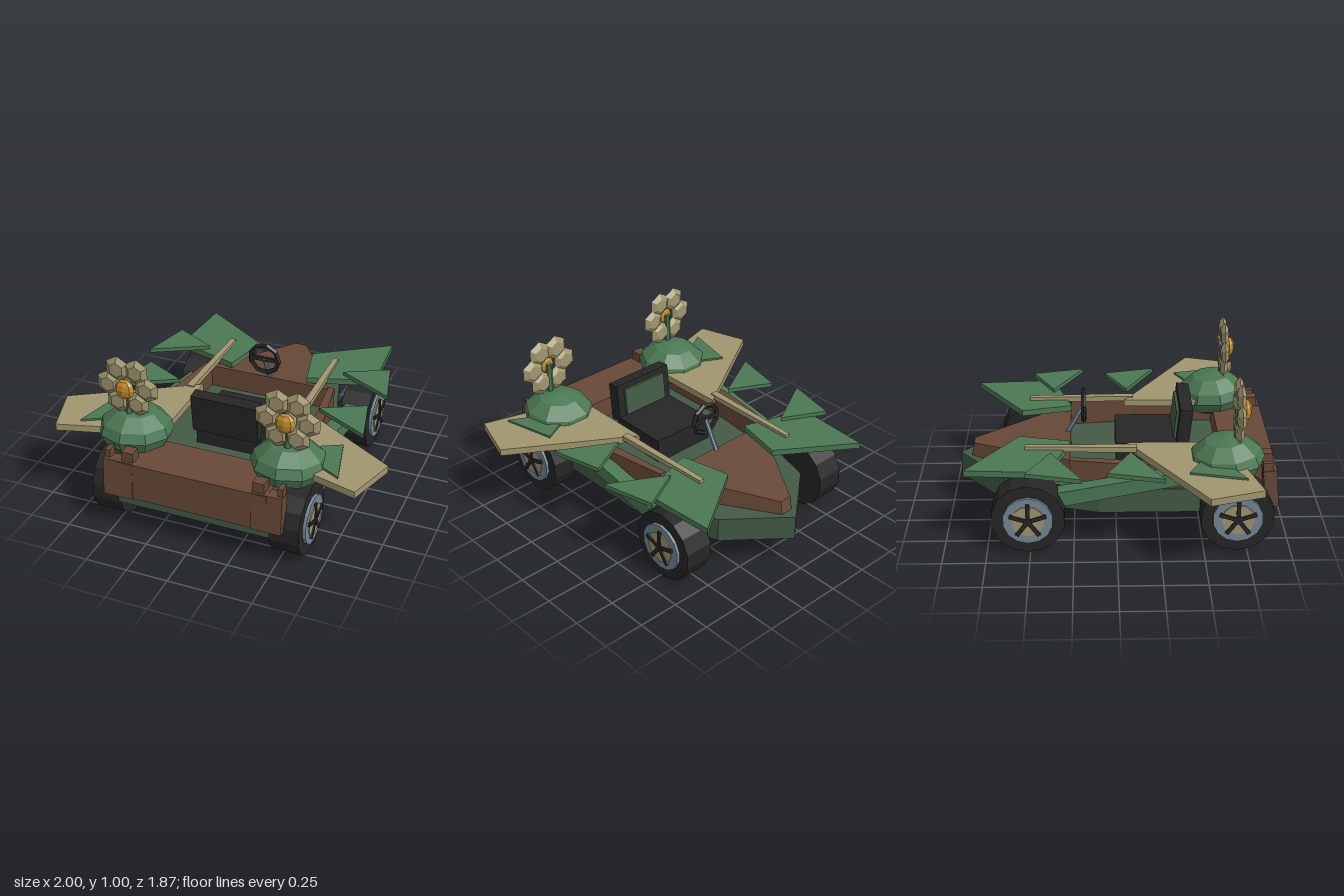
import * as THREE from 'three';

const mat = (name, color) => {
  const m = new THREE.MeshStandardMaterial({ color, flatShading: true });
  m.name = name;
  return m;
};

export function createModel() {
  const chassisGreen = mat('chassisGreen', 0x435a45);
  const leafGreen = mat('leafGreen', 0x4b7853);
  const brown = mat('brown', 0x684937);
  const tan = mat('tan', 0xa0966e);
  const black = mat('black', 0x262626);
  const steel = mat('steel', 0x748895);
  const orange = mat('orange', 0xc08a2c);

  const model = new THREE.Group();
  model.name = 'kart';
  const add = (name, geo, material, pos = [0, 0, 0], parent = model) => {
    const mesh = new THREE.Mesh(geo, material);
    mesh.name = name;
    mesh.position.set(...pos);
    parent.add(mesh);
    return mesh;
  };
  const box = (x, y, z) => new THREE.BoxGeometry(x, y, z);

  // Plan outline of [x, z] points raised from y0 to y1
  const slab = (pts, y0, y1, side = 1) => {
    const shape = new THREE.Shape(pts.map(([x, z]) => new THREE.Vector2(x * side, -z)));
    return new THREE.ExtrudeGeometry(shape, { depth: y1 - y0, bevelEnabled: false })
      .rotateX(-Math.PI / 2).translate(0, y0, 0);
  };
  const mirrored = (half) => [...half, ...half.map(([x, z]) => [-x, z]).reverse()];

  // Chassis
  add('chassis', slab([[0, -0.94], ...mirrored([[0.34, -0.66], [0.5, -0.1], [0.5, 0.45], [0.46, 0.91]])],
    0.18, 0.33), chassisGreen);

  // Wedge hood, its top sloping down and pulled in toward the nose
  const hood = slab(mirrored([[0.04, -0.87], [0.41, -0.27]]), 0.33, 0.5);
  const p = hood.attributes.position;
  for (let i = 0; i < p.count; i++) {
    if (p.getY(i) < 0.4) continue;
    const z = p.getZ(i);
    p.setX(i, p.getX(i) * 0.96);
    p.setY(i, z < -0.5 ? 0.41 : 0.47);
    if (z < -0.5) p.setZ(i, -0.855);
  }
  hood.computeVertexNormals();
  add('hood', hood, brown);

  // Front bumper deck, leaning forward at the lower edge
  add('bumperDeck', slab(mirrored([[0.45, 0.62], [0.45, 0.92]]), 0.23, 0.46), brown);

  // Seat
  add('seatBase', box(0.41, 0.15, 0.38), black, [0, 0.405, 0.19]);
  const back = new THREE.Group();
  back.name = 'seatBack';
  back.position.set(0, 0.57, 0.405);
  back.rotation.x = 0.1;
  model.add(back);
  add('backrest', box(0.41, 0.24, 0.075), black, [0, 0, 0], back);
  add('backrestPad', box(0.31, 0.17, 0.02), chassisGreen, [0, 0, -0.044], back);

  // Steering wheel and column
  add('steeringWheel', new THREE.TorusGeometry(0.093, 0.016, 5, 9), black, [0, 0.642, -0.19]);
  add('steeringBar', box(0.18, 0.025, 0.02), black, [0, 0.642, -0.19]);
  const column = add('steeringColumn', new THREE.CylinderGeometry(0.014, 0.014, 0.25, 6), steel, [0, 0.54, -0.245]);
  column.rotation.x = 0.5;

  for (const side of [1, -1]) {
    const s = side > 0 ? 'left' : 'right';

    // Cockpit wall
    add(s + 'Wall', slab([[0.39, -0.27], [0.43, -0.27], [0.49, 0.1], [0.49, 0.64], [0.43, 0.64], [0.43, 0.1]],
      0.32, 0.485, side), brown);

    // Diagonal side brace, drawn in (z, y)
    const brace = new THREE.Shape([[0.5, 0.42], [0.28, 0.46], [-0.34, 0.35], [-0.3, 0.265]]
      .map(([z, y]) => new THREE.Vector2(z, y)));
    add(s + 'Brace', new THREE.ExtrudeGeometry(brace, { depth: 0.09, bevelEnabled: false })
      .rotateY(-Math.PI / 2), leafGreen, [side > 0 ? 0.575 : -0.485, 0, 0]);

    // Bumper bracket and post
    const bracket = add(s + 'BumperBracket', box(0.18, 0.23, 0.08), brown, [side * 0.45, 0.345, 0.885]);
    bracket.rotation.x = -0.08;
    add(s + 'BumperPost', box(0.07, 0.14, 0.07), brown, [side * 0.395, 0.45, 0.865]);
    add(s + 'BumperPeg', box(0.03, 0.1, 0.06), brown, [side * 0.52, 0.46, 0.865]);

    // Tan wing with a long thin rail
    add(s + 'Wing', slab([[1, 0.495], [0.905, 0.8], [0.3, 0.63], [0.3, 0.06], [0.36, 0.1]], 0.492, 0.534, side), tan);
    add(s + 'Rail', slab([[0.365, -0.53], [0.333, -0.53], [0.34, 0.12], [0.385, 0.12]], 0.51, 0.542, side), tan);

    // Leaf fins
    add(s + 'RearLeaf', slab([[0.62, -0.865], [0.18, -0.57], [0.25, -0.265], [0.65, -0.39]], 0.485, 0.522, side), leafGreen);
    for (const z of [-0.515, -0.055, 0.4])
      add(s + 'SmallLeaf', slab([[0.71, z], [0.785, z + 0.318], [0.45, z + 0.135]], 0.52, 0.546, side), leafGreen);

    // Bush dome
    const profile = [[0, 0.4], [0.1, 0.4], [0.19, 0.45], [0.22, 0.51], [0.2, 0.57], [0.12, 0.635], [0, 0.66]];
    const dome = add(s + 'Bush', new THREE.LatheGeometry(profile.map(([r, y]) => new THREE.Vector2(r, y - 0.5)), 9),
      leafGreen, [side * 0.47, 0.5, 0.63]);
    dome.rotation.x = -0.08;

    // Flower
    const flower = new THREE.Group();
    flower.name = s + 'Flower';
    flower.position.set(side * 0.48, 0.82, 0.69);
    model.add(flower);
    add('stem', new THREE.CylinderGeometry(0.018, 0.022, 0.24, 6), leafGreen, [0, -0.11, -0.005], flower);
    for (let i = 0; i < 6; i++) {
      const a = i * Math.PI / 3;
      const petal = new THREE.Group();
      petal.name = 'petal';
      petal.position.set(Math.cos(a) * 0.117, Math.sin(a) * 0.117, 0);
      flower.add(petal);
      for (const f of [1, -1]) {
        const half = add('petalHalf', new THREE.CylinderGeometry(0.045, 0.08, 0.022, 6), tan, [0, 0, f * 0.011], petal);
        half.rotation.x = f * Math.PI / 2;
      }
    }
    add('flowerCentre', new THREE.SphereGeometry(0.06, 8, 6).scale(1, 1, 0.6), orange, [0, 0, 0.035], flower);

    // Wheels
    for (const [end, z] of [['Front', 0.69], ['Rear', -0.51]]) {
      const wheel = new THREE.Group();
      wheel.name = s + end + 'Wheel';
      wheel.position.set(side * 0.543, 0.21, z);
      wheel.rotation.y = side * Math.PI / 2; // local +z points outward
      model.add(wheel);
      const disc = (name, r, d, m, off, n) =>
        add(name, new THREE.CylinderGeometry(r, r, d, n).rotateX(Math.PI / 2), m, [0, 0, off], wheel);
      disc('tyre', 0.213, 0.175, black, 0, 14);
      disc('rim', 0.145, 0.03, steel, 0.09, 14);
      disc('hubDisc', 0.095, 0.008, tan, 0.107, 14);
      disc('hub', 0.025, 0.03, black, 0.105, 8);
      for (let i = 0; i < 5; i++)
        add('spoke', box(0.024, 0.11, 0.02).translate(0, 0.055, 0), black, [0, 0, 0.108], wheel)
          .rotation.z = i * Math.PI * 0.4;
    }
    // Axle stubs joining wheels to the chassis
    for (const z of [0.69, -0.51])
      add(s + 'Axle', new THREE.CylinderGeometry(0.03, 0.03, 0.25, 8).rotateZ(Math.PI / 2), black, [side * 0.4, 0.215, z]);
  }
  return model;
}
